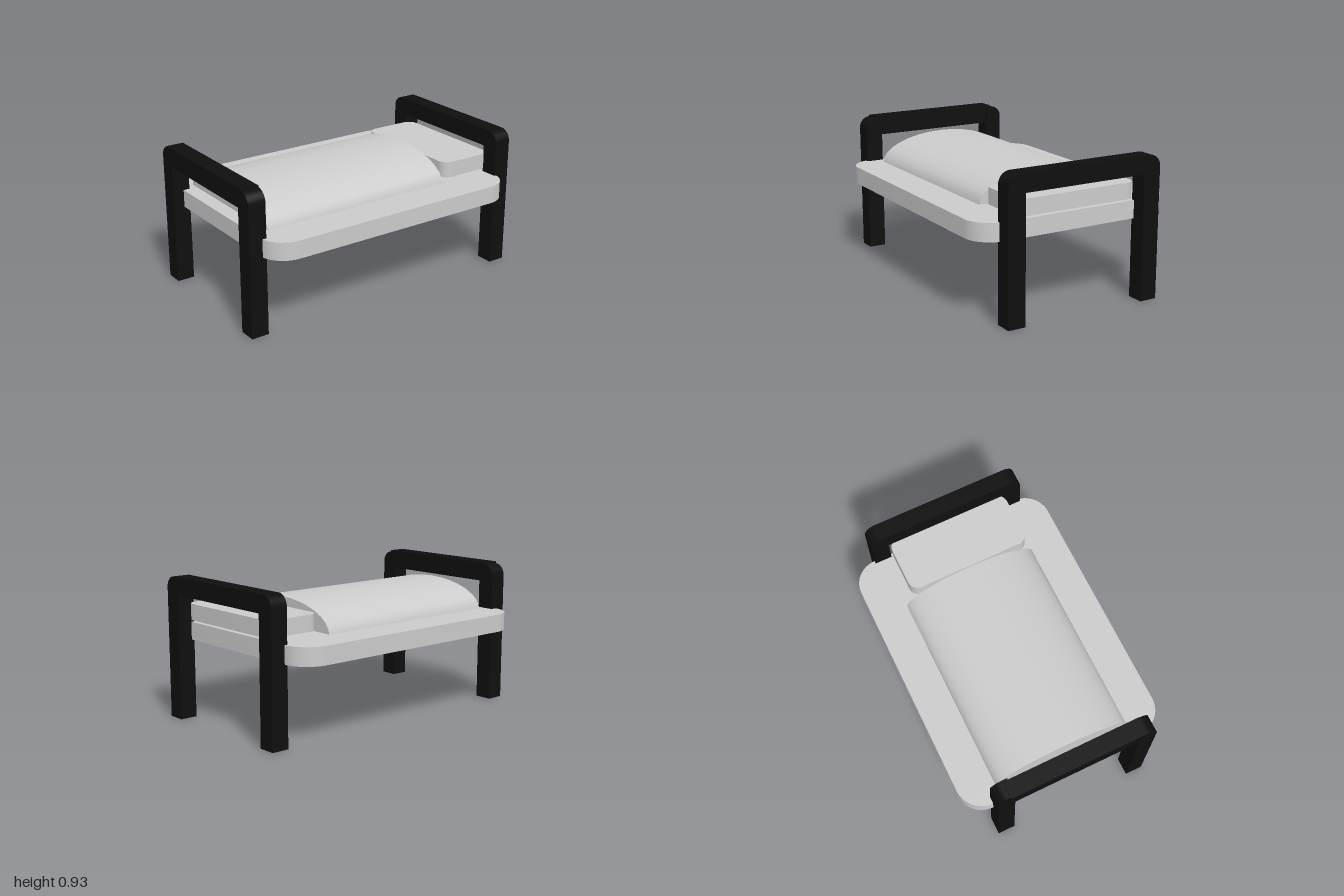
import * as THREE from 'three';
import { toCreasedNormals } from 'three/addons/utils/BufferGeometryUtils.js';

const grey = new THREE.MeshStandardMaterial({ color: 0xcccccc });
const black = new THREE.MeshStandardMaterial({ color: 0x0f0f0f });

function mesh(name, geometry, material) {
  const m = new THREE.Mesh(toCreasedNormals(geometry, 0.6), material);
  m.name = name;
  return m;
}

function extrude(shape, depth) {
  return new THREE.ExtrudeGeometry(shape, { depth, bevelEnabled: false, curveSegments: 8 });
}

// Side profile given in (-z, y), extruded from x0 to x1
function alongX(shape, x0, x1) {
  return extrude(shape, x1 - x0).rotateY(Math.PI / 2).translate(x0, 0, 0);
}

// Horizontal slab with rounded plan corners
function slab(x0, x1, z0, z1, y0, y1, r) {
  const s = new THREE.Shape();
  s.absarc(x1 - r, -z0 - r, r, 0, Math.PI / 2);
  s.absarc(x0 + r, -z0 - r, r, Math.PI / 2, Math.PI);
  s.absarc(x0 + r, -z1 + r, r, Math.PI, Math.PI * 1.5);
  s.absarc(x1 - r, -z1 + r, r, Math.PI * 1.5, Math.PI * 2);
  return extrude(s, y1 - y0).rotateX(-Math.PI / 2).translate(0, y0, 0);
}

// Post whose outer top corner is rounded; dir is +1 for front, -1 for back
function post(dir, zOuter, x0, x1) {
  const r = 0.075, w = 0.115, top = 0.92;
  const u = -zOuter, inner = u + dir * w;
  const s = new THREE.Shape();
  s.moveTo(u, 0);
  s.lineTo(u, top - r);
  const a = dir > 0 ? Math.PI : 0;
  s.absarc(u + dir * r, top - r, r, a, Math.PI / 2, dir > 0);
  s.lineTo(inner, top);
  s.lineTo(inner, 0);
  return alongX(s, x0, x1);
}

function rail(x0, x1, z0, z1, y0, y1) {
  return new THREE.BoxGeometry(x1 - x0, y1 - y0, z1 - z0)
    .translate((x0 + x1) / 2, (y0 + y1) / 2, (z0 + z1) / 2);
}

export function createModel() {
  const bed = new THREE.Group();
  bed.name = 'bed';

  bed.add(mesh('mattress', slab(-0.915, 0.905, -0.69, 0.685, 0.51, 0.625, 0.17), grey));
  bed.add(mesh('pillow', slab(0.545, 0.93, -0.395, 0.44, 0.645, 0.75, 0.065), grey));

  // Domed blanket with a half-ellipse section
  const dome = new THREE.Shape();
  dome.absellipse(0, 0.622, 0.458, 0.181, 0, Math.PI);
  bed.add(mesh('blanket', alongX(dome, -0.82, 0.515), grey));

  // End frames: two posts joined by a rail
  const frames = [
    { name: 'headFrame', x0: 0.885, front: 0, back: 0, top: 0.92 },
    { name: 'footFrame', x0: -1, front: 0, back: 0.012, top: 0.93 },
  ];
  for (const f of frames) {
    const g = new THREE.Group();
    g.name = f.name;
    const x1 = f.x0 + 0.115;
    g.add(mesh('frontPost', post(1, 0.548, f.x0 + f.front, x1 + f.front), black));
    g.add(mesh('backPost', post(-1, -0.52, f.x0 + f.back, x1 + f.back), black));
    g.add(mesh('rail', rail(f.x0, x1, -0.44, 0.475, 0.805, f.top), black));
    bed.add(g);
  }
  return bed;
}
